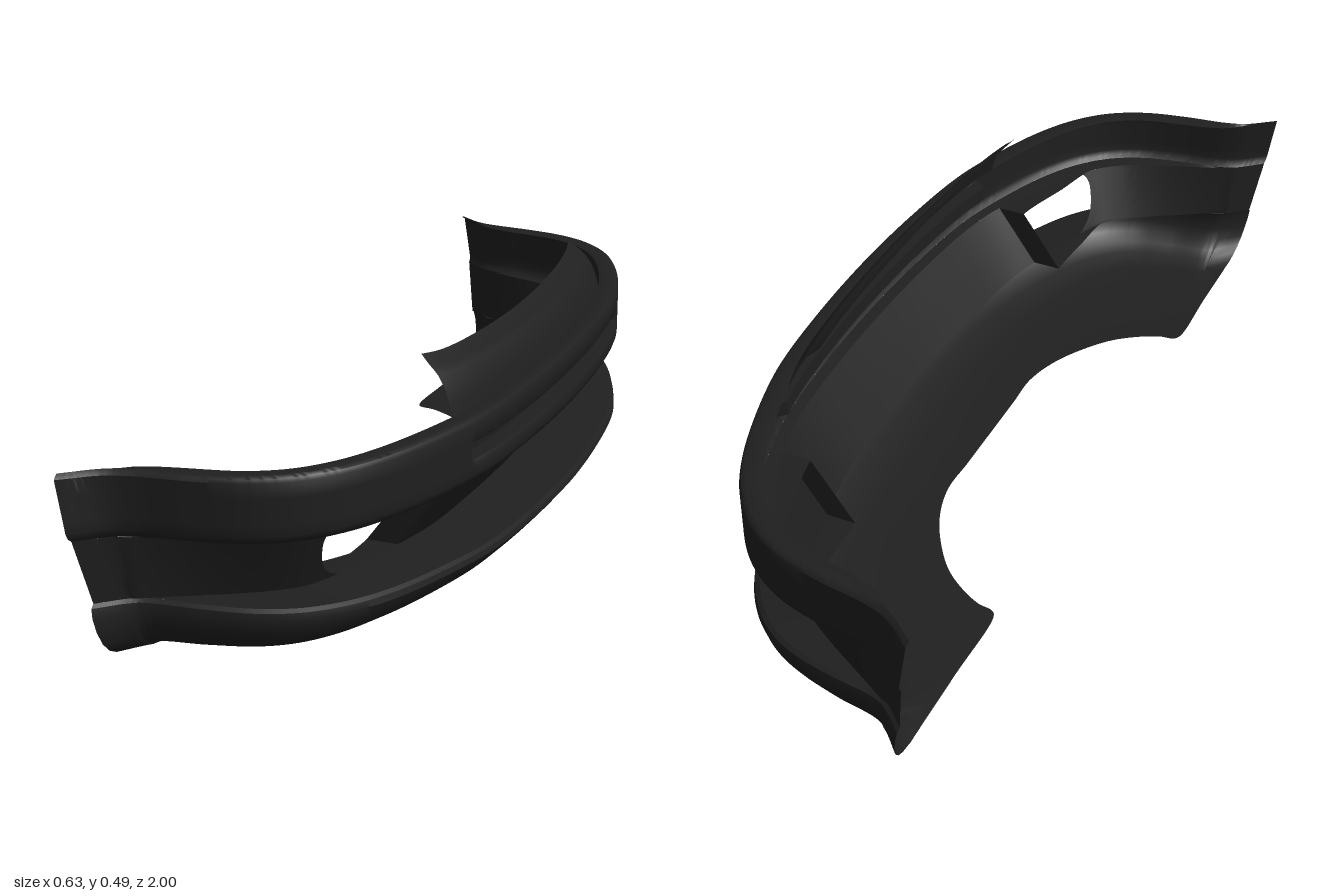
import * as THREE from 'three';
import { toCreasedNormals } from 'three/addons/utils/BufferGeometryUtils.js';

const END = 11; // station index at each tip; 0 is the middle
const { clamp, lerp, smoothstep } = THREE.MathUtils;

// Half curves as [x, z] from the middle to the tip, mirrored across z
function mirroredCurve(half) {
  const pts = half.map(([x, z]) => new THREE.Vector3(x, 0, z));
  const other = half.slice(1).reverse().map(([x, z]) => new THREE.Vector3(x, 0, -z));
  return new THREE.CatmullRomCurve3([...other, ...pts], false, 'centripetal');
}
const at = (curve, s) => curve.getPoint((s + END) / (2 * END));

const plan = mirroredCurve([[0.308, 0], [0.302, 0.2], [0.283, 0.4], [0.257, 0.515], [0.2, 0.68], [0.145, 0.78],
  [0.08, 0.85], [0, 0.895], [-0.1, 0.92], [-0.2, 0.935], [-0.25, 0.952], [-0.314, 1]]);
const floorEdge = mirroredCurve([[0, 0], [0, 0.12], [0, 0.22], [-0.03, 0.32], [-0.1, 0.43], [-0.15, 0.475],
  [-0.21, 0.508], [-0.245, 0.515], [-0.255, 0.53], [-0.255, 0.7], [-0.255, 0.85], [-0.255, 0.87]]);
const wallTop = mirroredCurve([[0.27, 0], [0.265, 0.2], [0.247, 0.4], [0.22, 0.515], [0.15, 0.66], [0.09, 0.775],
  [0.03, 0.83], [-0.04, 0.865], [-0.12, 0.895], [-0.2, 0.925], [-0.25, 0.95], [-0.31, 1]]);
const wallBottom = mirroredCurve([[0.17, 0], [0.165, 0.2], [0.15, 0.4], [0.125, 0.515], [0.085, 0.65], [0.045, 0.745],
  [0, 0.79], [-0.06, 0.83], [-0.13, 0.87], [-0.2, 0.91], [-0.25, 0.94], [-0.3, 0.97]]);

// Point set in from the plan curve by d at height y; the tips lean forward low down
function inset(s, d, y) {
  const k = Math.abs(s);
  const p = at(plan, s);
  const t = plan.getTangent((s + END) / (2 * END));
  const n = new THREE.Vector3(-t.z, 0, t.x);
  n.lerp(new THREE.Vector3(0, 0, -Math.sign(s)), clamp(k - 9, 0, 1)).normalize();
  p.addScaledVector(n, d);
  p.x += 0.058 * (1 - y / 0.375) * clamp((k - 7.5) / 3.5, 0, 1);
  p.y = y;
  return p;
}

// Sheet through rows of points
function sheet(rows) {
  const w = rows[0].length, pos = [], idx = [];
  rows.forEach(r => r.forEach(p => pos.push(p.x, p.y, p.z)));
  for (let i = 0; i < rows.length - 1; i++) {
    for (let j = 0; j < w - 1; j++) {
      const a = i * w + j, b = a + w;
      idx.push(a, a + 1, b, b, a + 1, b + 1);
    }
  }
  const g = new THREE.BufferGeometry();
  g.setAttribute('position', new THREE.Float32BufferAttribute(pos, 3));
  g.setIndex(idx);
  g.computeVertexNormals();
  return toCreasedNormals(g, 0.6);
}

// Sheet swept over stations from a to b
function sweep(a, b, n, section) {
  return sheet(Array.from({ length: n + 1 }, (_, i) => section(lerp(a, b, i / n))));
}

// Lower lip: inset and height of its top edge
const lipInset = k => lerp(-0.007, 0.025, k / END);
const lipY = k => lerp(0.097, 0.122, smoothstep(k, 0, 9));
const bandBottom = s => inset(s, 0.012, 0.25);
const lipTop = s => inset(s, lipInset(Math.abs(s)) + 0.012, lipY(Math.abs(s)));

// Recessed wall, fading into the outer skin at the tips; v runs from top to bottom
function wallPoint(s, v) {
  const k = Math.abs(s), f = smoothstep(k, 9, 10.2);
  const a = at(wallTop, s).setY(0.247).lerp(bandBottom(s), f);
  const b = at(wallBottom, s).setY(lerp(0.113, 0.125, k / END)).lerp(lipTop(s), f);
  return a.lerp(b, v);
}

export function createModel() {
  const group = new THREE.Group();
  const plastic = new THREE.MeshStandardMaterial({ color: 0x1f1f1f, side: THREE.DoubleSide });
  plastic.name = 'black plastic';
  const add = (name, geometry) => {
    const mesh = new THREE.Mesh(geometry, plastic);
    mesh.name = name;
    group.add(mesh);
  };

  // Upper band with rounded edges and a long groove across the middle
  add('upperBand', sweep(-END, END, 264, s => {
    const k = Math.abs(s);
    const g = 0.035 * (1 - smoothstep(k, 2.62, 2.72));
    const topLip = lerp(0.045, 0.012, smoothstep(k, 8, 10.5));
    const rise = lerp(0, -0.006, k / END);
    return [[topLip, 0.378 + rise], [0.012, 0.382 + rise], [0.004, 0.378 + rise], [0, 0.368], [0, 0.338],
      [Math.min(g, 0.004), 0.331], [g, 0.33], [g, 0.297], [Math.min(g, 0.004), 0.296], [0, 0.289],
      [0, 0.268], [0.004, 0.257], [0.012, 0.25]].map(([d, y]) => inset(s, d, y));
  }));

  // Roof and ledge of the recess
  add('recessRoof', sweep(-END, END, 176, s => [bandBottom(s), wallPoint(s, 0)]));
  add('recessLedge', sweep(-END, END, 176, s => [wallPoint(s, 1), lipTop(s)]));

  // Middle panel leaning back below the band
  add('middlePanel', sweep(-3, 3, 60, s => [wallPoint(s, 0), wallPoint(s, 0.5), wallPoint(s, 1)]));

  for (const side of [-1, 1]) {
    const label = side > 0 ? 'left' : 'right';
    // Side wall starting at the rounded outer end of the opening
    const rows = [];
    for (let i = 0; i <= 40; i++) {
      rows.push(Array.from({ length: 17 }, (_, j) => {
        const v = j / 16;
        const start = 5 - 0.25 * v - 0.45 * v ** 6 - 0.25 * (1 - v) ** 8;
        return wallPoint(side * lerp(start, END, i / 40), v);
      }));
    }
    add(label + 'RecessWall', sheet(rows));

    // Duct return behind the opening: inner cheek, roof and floor
    const back = (k, v) => {
      const p = wallPoint(side * k, v);
      p.x -= 0.065 * (5 - k) / 2;
      return p;
    };
    add(label + 'DuctCheek', sheet([
      [wallPoint(side * 3, 0), wallPoint(side * 3, 1)], [back(3, 0), back(3, 1)]]));
    add(label + 'DuctRoof', sweep(3, 5, 16, k => [wallPoint(side * k, 0), back(k, 0)]));
    add(label + 'DuctFloor', sweep(3, 5, 16, k => [wallPoint(side * k, 1), back(k, 1)]));
  }

  // Lower lip rolling under into the floor plate
  add('lowerLipAndFloor', sweep(-END, END, 200, s => {
    const k = Math.abs(s), f = k / END, d = lipInset(k), y = lipY(k);
    const under = [[0.003, 0.003, y - 0.004, y - 0.006], [0, 0, y - 0.012, y - 0.025], [0.012, 0.004, 0.07, 0.07],
      [0.035, 0.014, 0.05, 0.043], [0.066, 0.03, 0.035, 0.023], [0.115, 0.05, 0.02, 0.011], [0.2, 0.085, 0.006, 0.002]];
    return [lipTop(s), ...under.map(([d0, d1, y0, y1]) => inset(s, d + lerp(d0, d1, f), lerp(y0, y1, f))),
      at(floorEdge, s)];
  }));

  // Curved mounting flange standing above the middle
  add('mountingFlange', sweep(-2.75, 2.75, 60, s => {
    const lift = 0.022 * (s / 2.75) ** 2;
    return [[0.045, 0.375, 0], [0.052, 0.4, 0], [0.063, 0.424, 0.2], [0.078, 0.442, 0.4], [0.09, 0.449, 0.6],
      [0.1, 0.452, 0.8], [0.118, 0.465, 1]].map(([d, y, f]) => inset(s, d, y + lift * f));
  }));

  return group;
}
